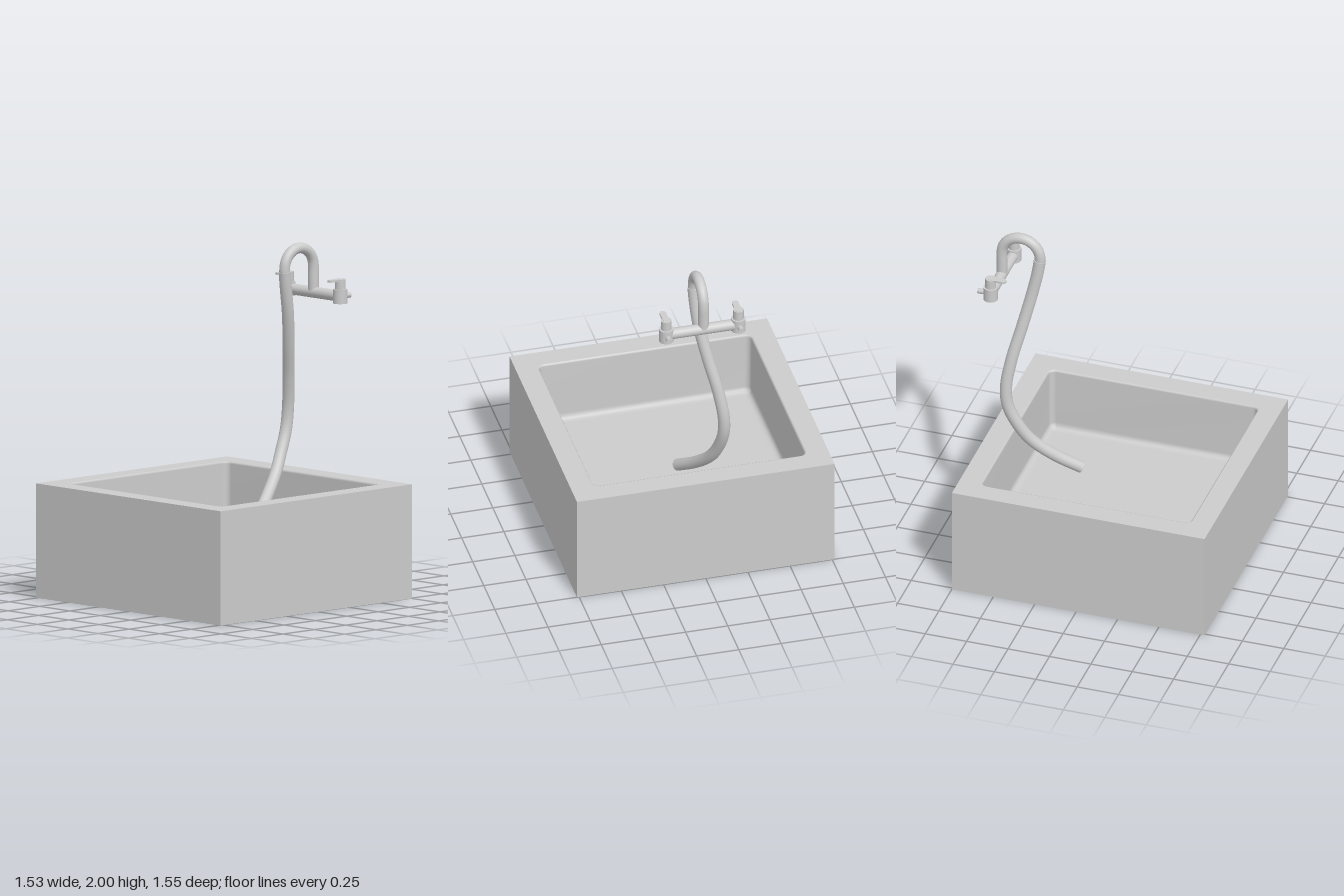
import * as THREE from 'three';

const V = (x, y, z) => new THREE.Vector3(x, y, z);
const RIM_Y = 0.662;

function roundedSquare(half, r, steps = 6) {
  const pts = [];
  [[1, 1], [-1, 1], [-1, -1], [1, -1]].forEach(([sx, sz], c) => {
    for (let i = 0; i <= steps; i++) {
      const a = (c + i / steps) * Math.PI / 2;
      pts.push(new THREE.Vector2(sx * (half - r) + r * Math.cos(a), sz * (half - r) + r * Math.sin(a)));
    }
  });
  return pts;
}

// Surface through rounded-square rings, given as [half width, corner radius, y]
function loft(rings) {
  const pos = [], index = [];
  let n = 0;
  rings.forEach(([half, r, y]) => {
    const pts = roundedSquare(half, r);
    n = pts.length;
    pts.forEach(p => pos.push(p.x, y, p.y));
  });
  for (let i = 0; i < rings.length - 1; i++) {
    for (let j = 0; j < n; j++) {
      const a = i * n + j, b = i * n + (j + 1) % n;
      index.push(a, a + n, b, b, a + n, b + n);
    }
  }
  const g = new THREE.BufferGeometry();
  g.setAttribute('position', new THREE.Float32BufferAttribute(pos, 3));
  g.setIndex(index);
  g.computeVertexNormals();
  return g;
}

export function createModel() {
  const model = new THREE.Group();
  const smooth = new THREE.MeshStandardMaterial({ color: 0xcccccc, side: THREE.DoubleSide });
  const flat = new THREE.MeshStandardMaterial({ color: 0xcccccc, side: THREE.DoubleSide, flatShading: true });

  function add(parent, name, geometry, x = 0, y = 0, z = 0, material = smooth) {
    const mesh = new THREE.Mesh(geometry, material);
    mesh.name = name;
    mesh.position.set(x, y, z);
    parent.add(mesh);
    return mesh;
  }

  // Sink: thin outer walls open underneath, flat rim and a hanging bowl
  const sink = new THREE.Group();
  sink.name = 'sink';
  sink.position.z = 0.013;
  model.add(sink);
  const half = 0.763, bowlHalf = 0.638;
  const walls = new THREE.CylinderGeometry(half * Math.SQRT2, half * Math.SQRT2, RIM_Y, 4, 1, true);
  add(sink, 'outerWalls', walls.rotateY(Math.PI / 4), 0, RIM_Y / 2, 0, flat);

  const rim = new THREE.Shape([[-1, -1], [1, -1], [1, 1], [-1, 1]].map(([x, y]) => new THREE.Vector2(x * half, y * half)));
  rim.holes.push(new THREE.Path(roundedSquare(bowlHalf, 0.045)));
  add(sink, 'rim', new THREE.ShapeGeometry(rim).rotateX(-Math.PI / 2), 0, RIM_Y, 0, flat);

  add(sink, 'bowl', loft([
    [bowlHalf, 0.045, RIM_Y], [0.632, 0.039, 0.659], [0.628, 0.035, 0.65], [0.626, 0.034, 0.31],
    [0.622, 0.032, 0.292], [0.612, 0.03, 0.28], [0.595, 0.02, 0.275], [0.57, 0.01, 0.275], [0, 0, 0.275],
  ]));

  // Tap: crossbar with a valve at each end
  const tap = new THREE.Group();
  tap.name = 'tap';
  tap.position.set(0.007, 1.70, -0.70);
  model.add(tap);
  add(tap, 'crossbar', new THREE.CylinderGeometry(0.032, 0.032, 0.43, 24).rotateZ(Math.PI / 2));

  // Paddle handle with a rounded tip, pointing forward
  const paddle = new THREE.Shape();
  paddle.moveTo(-0.018, 0.02);
  paddle.lineTo(-0.019, -0.075);
  paddle.absarc(0, -0.075, 0.019, Math.PI, Math.PI * 2, false);
  paddle.lineTo(0.018, 0.02);
  const paddleGeometry = new THREE.ExtrudeGeometry(paddle, { depth: 0.012, bevelEnabled: false, curveSegments: 10 });
  paddleGeometry.rotateX(-Math.PI / 2);

  for (const side of [-1, 1]) {
    const valve = new THREE.Group();
    valve.name = side > 0 ? 'leftValve' : 'rightValve';
    valve.position.x = side * 0.214;
    tap.add(valve);
    add(valve, 'valveBody', new THREE.CylinderGeometry(0.042, 0.042, 0.082, 24));
    add(valve, 'valveCap', new THREE.CylinderGeometry(0.031, 0.031, 0.058, 24), 0, 0.07, 0);
    add(valve, 'handle', paddleGeometry, 0, 0.088, 0);
    add(valve, 'inletStub', new THREE.CylinderGeometry(0.016, 0.016, 0.05, 16).rotateX(Math.PI / 2), 0, 0, -0.051);
  }

  // Spout: rises from the crossbar and arches forward
  const arch = [V(0, 1.70, -0.70), V(0, 1.78, -0.70)];
  for (let i = 0; i <= 8; i++) {
    const a = i / 8 * Math.PI;
    arch.push(V(0, 1.853 + 0.115 * Math.sin(a), -0.585 - 0.115 * Math.cos(a)));
  }
  arch.push(V(0, 1.81, -0.473));
  add(model, 'spout', new THREE.TubeGeometry(new THREE.CatmullRomCurve3(arch), 60, 0.031, 20));

  // Hose: hangs from the spout and curls into the bowl
  const hosePath = new THREE.CatmullRomCurve3([
    V(0, 1.84, -0.471), V(-0.005, 1.75, -0.484), V(-0.02, 1.6, -0.515), V(-0.06, 1.4, -0.56),
    V(-0.108, 1.2, -0.606), V(-0.138, 1.02, -0.63), V(-0.141, 0.9, -0.617), V(-0.125, 0.77, -0.56),
    V(-0.095, 0.662, -0.49), V(-0.04, 0.55, -0.37), V(0.03, 0.45, -0.23),
  ]);
  add(model, 'hose', new THREE.TubeGeometry(hosePath, 70, 0.035, 20));
  [0, 1].forEach(t => {
    const p = hosePath.getPointAt(t), dir = hosePath.getTangentAt(t).multiplyScalar(t ? 1 : -1);
    const cap = add(model, t ? 'hoseEnd' : 'hoseCollar', new THREE.CircleGeometry(0.035, 20), p.x, p.y, p.z);
    cap.quaternion.setFromUnitVectors(V(0, 0, 1), dir);
  });

  return model;
}
